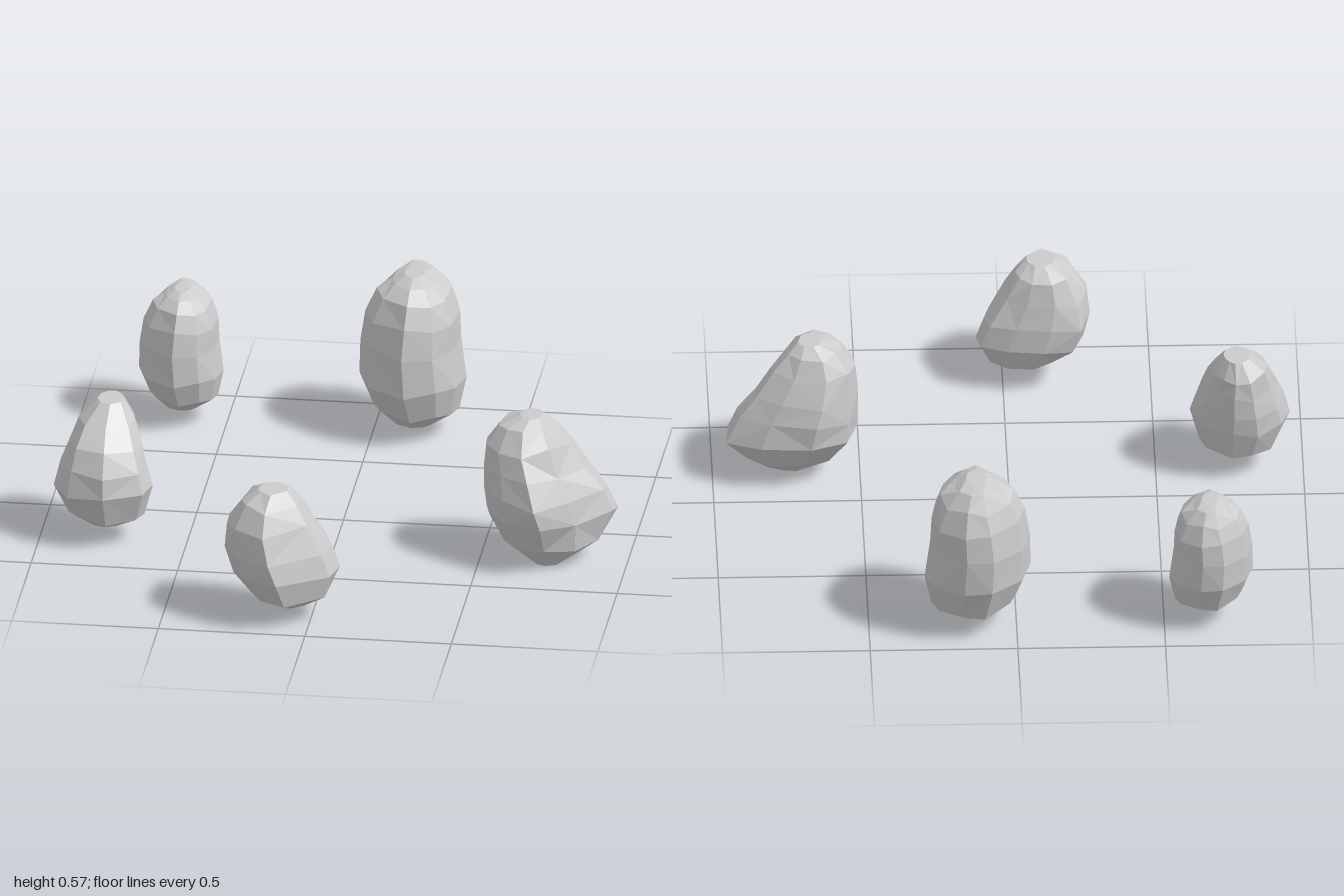
import * as THREE from 'three';

// Repeatable noise in -1..1
function makeNoise(seed) {
  let s = seed;
  return () => {
    s = (s * 16807) % 2147483647;
    return (s / 2147483647) * 2 - 1;
  };
}

// A faceted boulder.
// plan: [x, z] outline at the widest level; levels: [y, xMin, xMax, zMin, zMax] from the bottom up.
// The outline is fitted into each level and rounded off away from the widest one.
function makeRock(plan, levels, seed) {
  const noise = makeNoise(seed);
  const xs = plan.map(p => p[0]), zs = plan.map(p => p[1]);
  const x0 = Math.min(...xs), x1 = Math.max(...xs), z0 = Math.min(...zs), z1 = Math.max(...zs);
  const unit = plan.map(([x, z]) => [2 * (x - x0) / (x1 - x0) - 1, 2 * (z - z0) / (z1 - z0) - 1]);
  const width = l => (l[2] - l[1]) * (l[4] - l[3]);
  const widest = Math.max(...levels.map(width));

  const n = plan.length, pos = [], index = [];
  levels.forEach((l, k) => {
    const [y, a, b, c, d] = l;
    const keep = width(l) / widest;
    const inner = k > 0 && k < levels.length - 1;
    for (const [u, v] of unit) {
      const r = Math.hypot(u, v);
      const f = (keep + (1 - keep) / r) * (1 + 0.025 * noise());
      pos.push((a + b) / 2 + u * f * (b - a) / 2, y + (inner ? 0.012 * noise() : 0), (c + d) / 2 + v * f * (d - c) / 2);
    }
  });

  // Sides, with alternating diagonals
  for (let k = 0; k < levels.length - 1; k++) {
    for (let i = 0; i < n; i++) {
      const j = (i + 1) % n;
      const p = k * n + i, q = k * n + j, P = p + n, Q = q + n;
      if ((i + k) % 2) index.push(p, P, q, q, P, Q);
      else index.push(p, P, Q, p, Q, q);
    }
  }

  // Bottom and top caps
  const first = levels[0], last = levels[levels.length - 1];
  for (const l of [first, last]) pos.push((l[1] + l[2]) / 2, l[0], (l[3] + l[4]) / 2);
  const base = n * levels.length, top = n * (levels.length - 1);
  for (let i = 0; i < n; i++) {
    const j = (i + 1) % n;
    index.push(base, i, j, base + 1, top + j, top + i);
  }

  const geo = new THREE.BufferGeometry();
  geo.setAttribute('position', new THREE.Float32BufferAttribute(pos, 3));
  geo.setIndex(index);
  geo.computeVertexNormals();
  return geo;
}

export function createModel() {
  const group = new THREE.Group();
  group.name = 'rocks';
  const material = new THREE.MeshStandardMaterial({ color: 0xcccccc, flatShading: true });
  const add = (name, geo) => {
    const mesh = new THREE.Mesh(geo, material);
    mesh.name = name;
    group.add(mesh);
    return mesh;
  };

  // Wedge-shaped rock with a low shoulder
  add('leftRock', makeRock(
    [[.50, .20], [.54, .10], [.66, .04], [.83, .07], [.95, .13], [.945, .21], [.83, .33], [.72, .43], [.60, .37], [.53, .29]],
    [
      [.00, .68, .78, .20, .30],
      [.07, .57, .90, .11, .36],
      [.17, .51, .95, .04, .42],
      [.25, .505, .915, .04, .43],
      [.33, .505, .86, .05, .40],
      [.42, .515, .80, .08, .36],
      [.485, .56, .75, .11, .31],
      [.515, .63, .71, .15, .25],
    ], 11));

  // Squat rock with a shoulder on one side
  add('frontRock', makeRock(
    [[-.295, .79], [-.26, .68], [-.15, .66], [-.02, .68], [.075, .72], [.095, .78], [.07, .87], [-.11, 1.0], [-.24, .925], [-.29, .85]],
    [
      [.055, -.11, -.02, .82, .90],
      [.09, -.20, .06, .71, .955],
      [.17, -.27, .09, .67, .995],
      [.25, -.295, .06, .665, 1.0],
      [.34, -.285, .005, .68, .98],
      [.42, -.24, -.04, .70, .94],
      [.46, -.18, -.08, .76, .88],
    ], 23));

  // Rock leaning towards the back
  add('rightRock', makeRock(
    [[-.955, .24], [-.925, .13], [-.845, .055], [-.76, .045], [-.70, .10], [-.65, .15], [-.62, .24], [-.64, .33], [-.77, .40], [-.90, .36]],
    [
      [.045, -.83, -.73, .18, .27],
      [.09, -.91, -.65, .10, .35],
      [.19, -.955, -.62, .06, .395],
      [.27, -.935, -.64, .045, .385],
      [.34, -.91, -.66, .045, .35],
      [.41, -.88, -.69, .045, .28],
      [.468, -.82, -.73, .08, .20],
    ], 37));

  // Tall rounded rock, and a smaller copy beside it
  const tall = makeRock(
    [[-.05, -.79], [-.02, -.89], [.085, -.995], [.18, -1.0], [.28, -.935], [.31, -.835], [.285, -.715], [.23, -.64], [.125, -.60], [-.005, -.69]],
    [
      [.03, .07, .20, -.85, -.74],
      [.09, .00, .29, -.94, -.65],
      [.20, -.05, .31, -.99, -.60],
      [.33, -.05, .295, -1.0, -.60],
      [.43, -.03, .29, -1.0, -.615],
      [.51, .01, .26, -.98, -.65],
      [.555, .06, .21, -.94, -.71],
      [.57, .10, .17, -.87, -.77],
    ], 51);
  add('backRock', tall);
  const small = add('smallBackRock', tall);
  small.scale.setScalar(.79);
  small.position.set(-.763, .02, -.168);

  return group;
}
